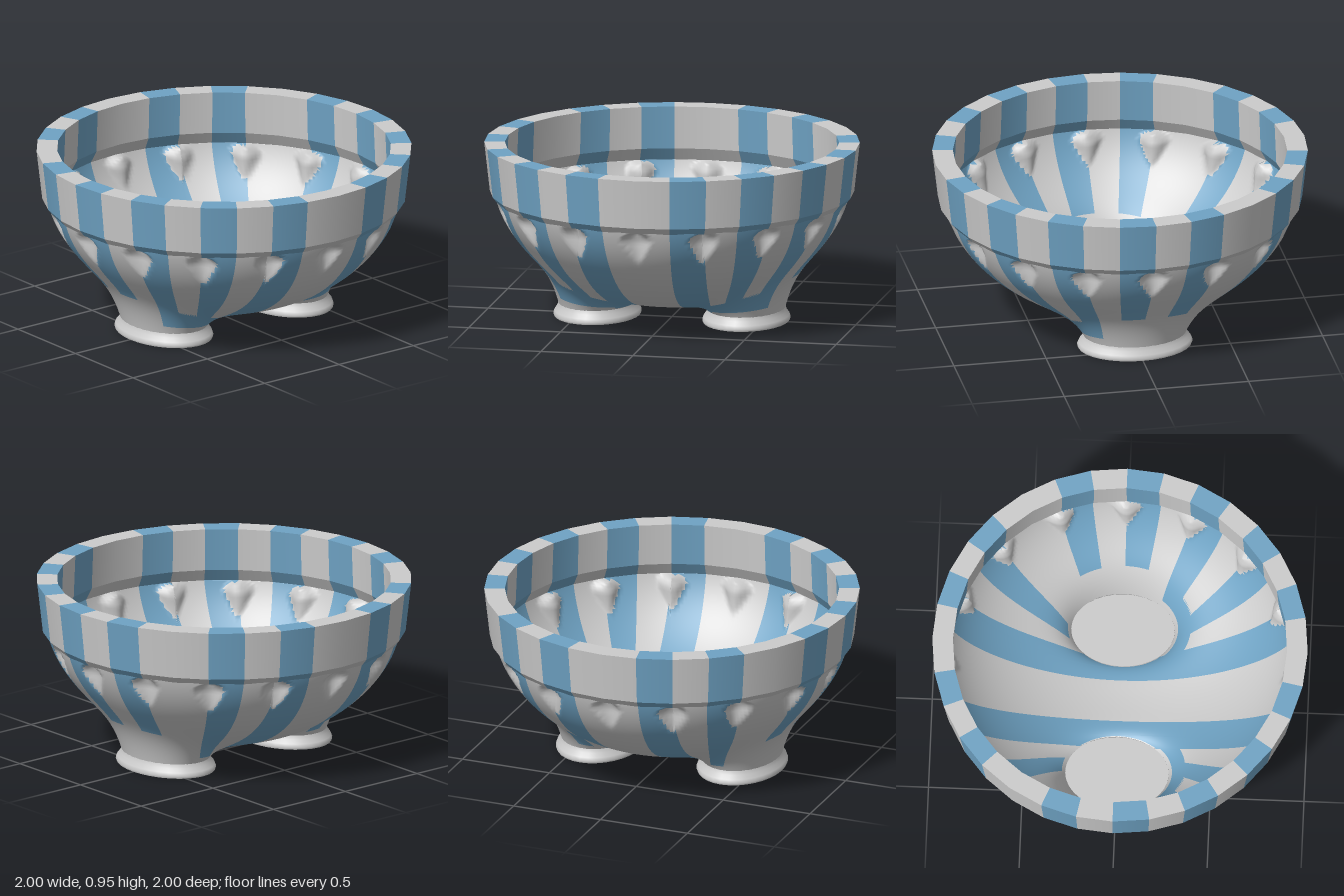
import * as THREE from 'three';
import { mergeGeometries, mergeVertices } from 'three/addons/utils/BufferGeometryUtils.js';

const SEG = Math.PI / 16;                       // one of 32 rim segments
const BLUE = [1, 3, 5, 7, 9, 12, 14];           // striped segments of one half
const EDGE = 0.94;                              // radius where bowl meets rim band
const FOOT = { x: 0.405, rx: 0.205, rz: 0.275, y: 0.07 };

const grey = new THREE.MeshStandardMaterial({ color: 0xcccccc, side: THREE.DoubleSide });
const blue = new THREE.MeshStandardMaterial({ color: 0x6fa3c4, side: THREE.DoubleSide });
const { lerp, clamp } = THREE.MathUtils;

// Distance in plan from the neck of the nearer foot
const footDistance = (x, z) =>
  Math.max(0, Math.hypot((Math.abs(x) - FOOT.x) / FOOT.rx, z / FOOT.rz) - 1) * 0.21;

// Bowl height, with a fillet running down into each foot
function height(x, z) {
  const r = Math.min(Math.hypot(x, z), EDGE);
  const bowl = 0.8 - 0.72 * Math.sqrt(1 - (r / 0.96) ** 2);
  return lerp(FOOT.y, bowl, 1 - Math.exp(-footDistance(x, z) / 0.045));
}

// Depth of the teardrop dents, one at every second segment
function dent(x, y, z) {
  const q = (y - 0.47) / 0.18;
  if (q <= 0 || q >= 1) return 0;
  const a = Math.atan2(x, z) / (2 * SEG);
  const across = (a - Math.round(a)) * 2 * SEG * Math.hypot(x, z);
  const w = 0.08 * (q < 0.72 ? (q / 0.72) ** 0.8 : Math.sqrt(1 - ((q - 0.72) / 0.28) ** 2));
  return Math.abs(across) < w ? 0.05 * (1 - (across / w) ** 2) * Math.min(1, q * 1.5) : 0;
}

// Curve running front to back through the middle; v goes from -1 to 1
function column(theta, v) {
  const s = Math.abs(theta) / SEG;
  const x0 = Math.sign(theta) * (s < 1 ? 0.115 * s : lerp(0.115, 0.19, s - 1));
  const k = Math.sin(v * Math.PI / 2);
  return [lerp(x0, EDGE * Math.sin(theta), k * k), EDGE * Math.cos(theta) * k];
}

const ROWS = 96, SUB = 10, ARC = 12 * SUB;

// Rays from a foot's neck out to the bowl edge, then back along the middle strip
function ray(i, t) {
  let alpha, end;
  if (i <= ARC) {
    const theta = 2 * SEG + (i / SUB) * SEG;
    alpha = Math.PI / 2 + (theta - Math.PI / 2) * 2;
    end = [EDGE * Math.sin(theta), EDGE * Math.cos(theta)];
  } else {
    const v = (i - ARC) / ROWS;
    alpha = Math.PI * (1.25 + v / 2);
    end = column(2 * SEG, v * 2 - 1);
  }
  const s = 0.5 - 0.5 * Math.cos(Math.PI * t);
  return [lerp(FOOT.x + FOOT.rx * Math.sin(alpha), end[0], s), lerp(FOOT.rz * Math.cos(alpha), end[1], s)];
}

function rayIsBlue(i, x, z) {
  const d = footDistance(x, z);
  if (i > ARC) return d > 0.004;                // sliver belonging to the middle stripe
  const seg = 2 + Math.floor(i / SUB);
  if (seg === 7 || seg === 9) return d > 0.085;
  if (seg <= 4 && d < 0.07) return d > 0.015;   // stripes join in front of the foot
  return BLUE.includes(seg) && d > 0.015;
}

// Bowl: one welded surface, split by colour afterwards
function buildBowl() {
  const pos = [], flags = [];
  const patch = (plan, nu, nv, isBlue, sx = 1) => {
    const point = (i, j) => {
      const [x, z] = plan(i, j);
      const y = height(x, z);
      const k = 1 - dent(x, y, z) / Math.max(0.1, Math.hypot(x, z));
      return [sx * x * k, y, z * k];
    };
    for (let i = 0; i < nu; i++) for (let j = 0; j < nv; j++) {
      const a = point(i, j), b = point(i + 1, j), c = point(i + 1, j + 1), d = point(i, j + 1);
      const tris = [[a, b, c, 1 / 3], [a, c, d, 2 / 3]];
      for (const [p, q, r, f] of tris) {
        const [x, z] = plan(i + 1 - f, j + f);
        pos.push(...p, ...(sx > 0 ? [...q, ...r] : [...r, ...q]));
        flags.push(isBlue(i + 0.5, x, z) && !dent(x, height(x, z), z));
      }
    }
  };
  // Middle strip with its two stripes
  patch((i, j) => column((i / SUB - 2) * SEG, j / ROWS * 2 - 1), 4 * SUB, ROWS,
    (i, x, z) => Math.abs(i / SUB - 2) > 1);
  // Sides around the feet
  for (const sx of [1, -1])
    patch((i, j) => ray(i, j / 44), ARC + ROWS, 44, rayIsBlue, sx);

  let whole = new THREE.BufferGeometry();
  whole.setAttribute('position', new THREE.Float32BufferAttribute(pos, 3));
  whole = mergeVertices(whole, 1e-4);
  whole.computeVertexNormals();
  const index = whole.index.array;
  const group = new THREE.Group();
  group.name = 'bowl';
  for (const isBlue of [false, true]) {
    const part = new THREE.BufferGeometry();
    part.setAttribute('position', whole.attributes.position);
    part.setAttribute('normal', whole.attributes.normal);
    const tri = [];
    flags.forEach((f, n) => { if (f === isBlue) tri.push(index[3 * n], index[3 * n + 1], index[3 * n + 2]); });
    part.setIndex(tri);
    const mesh = new THREE.Mesh(part, isBlue ? blue : grey);
    mesh.name = isBlue ? 'bowlStripes' : 'bowlShell';
    group.add(mesh);
  }
  return group;
}

// Rim band: 32 wedge pieces, each with a crisp-edged profile
function buildRim() {
  const profile = [[0.942, 0.65], [0.97, 0.685], [1, 0.95], [0.89, 0.95], [0.9, 0.72], [0.938, 0.652]]
    .map(p => new THREE.Vector2(...p));
  const parts = [[], []];
  for (let i = 0; i < 32; i++) {
    const isBlue = BLUE.includes(i < 16 ? i : 31 - i);
    for (let k = 0; k < profile.length - 1; k++)
      parts[+isBlue].push(new THREE.LatheGeometry(profile.slice(k, k + 2), 1, i * SEG, SEG));
  }
  const group = new THREE.Group();
  group.name = 'rim';
  parts.forEach((list, n) => {
    const mesh = new THREE.Mesh(mergeGeometries(list), n ? blue : grey);
    mesh.name = n ? 'rimStripes' : 'rimBand';
    group.add(mesh);
  });
  return group;
}

// Hollow oval foot with a flared base and a flat floor
function buildFoot(side) {
  const group = new THREE.Group();
  group.name = side > 0 ? 'leftFoot' : 'rightFoot';
  const profile = [[1.11, 0], [1.13, 0.012], [1.1, 0.03], [1.03, 0.05], [1.003, 0.073]]
    .map(p => new THREE.Vector2(...p));
  const wall = new THREE.Mesh(new THREE.LatheGeometry(profile, 32), grey);
  wall.name = 'footWall';
  const floor = new THREE.Mesh(new THREE.CircleGeometry(1.11, 32).rotateX(Math.PI / 2), grey);
  floor.name = 'footFloor';
  group.add(wall, floor);
  group.scale.set(FOOT.rx, 1, FOOT.rz);
  group.position.x = side * FOOT.x;
  return group;
}

export function createModel() {
  const model = new THREE.Group();
  model.name = 'footedBowl';
  model.add(buildBowl(), buildRim(), buildFoot(1), buildFoot(-1));
  return model;
}
